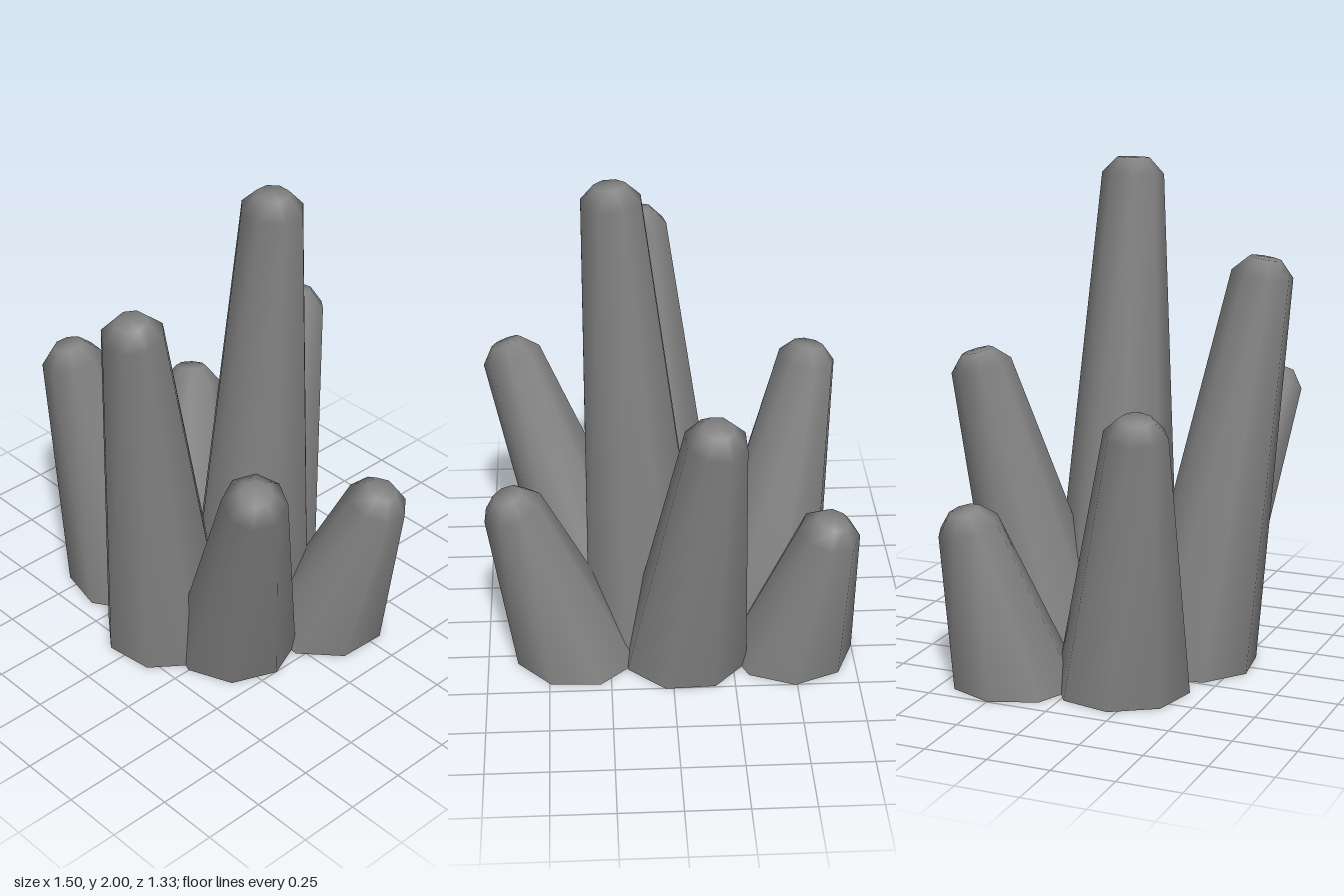
import * as THREE from 'three';

const SIDES = 8;
const UP = new THREE.Vector3(0, 1, 0);

// name, base centre (x, z), base radius, shoulder centre (x, y, z), turn in degrees
const COLUMNS = [
  ['centreColumn', [0.09, -0.07], 0.266, [0.217, 1.937, -0.045], 22.5],
  ['frontColumn', [-0.008, 0.312], 0.262, [0.10, 1.583, 0.548], 15],
  ['frontLeftColumn', [0.247, 0.17], 0.255, [0.63, 1.047, 0.428], 0],
  ['frontRightColumn', [-0.403, 0.17], 0.268, [-0.585, 1.07, 0.30], 35],
  ['backLeftColumn', [0.383, -0.215], 0.262, [0.628, 0.722, -0.25], 25],
  ['backColumn', [-0.058, -0.255], 0.264, [-0.155, 1.18, -0.551], 20],
  ['backRightColumn', [-0.492, -0.245], 0.258, [-0.62, 0.655, -0.383], 0],
];

// rings of the bevelled end: distance past the shoulder along the axis, radius
const CAP = [[0, 0.124], [0.063, 0.064]];

// Leaning tapered column: level open foot, rings square to the axis at the tip
function column([name, [bx, bz], radius, shoulder, turn]) {
  const base = new THREE.Vector3(bx, 0, bz);
  const top = new THREE.Vector3(...shoulder);
  const axis = top.clone().sub(base).normalize();
  const lean = new THREE.Quaternion().setFromUnitVectors(UP, axis);
  const positions = [];
  const index = [];

  const addRing = (centre, r, rotation) => {
    for (let i = 0; i < SIDES; i++) {
      const a = THREE.MathUtils.degToRad(turn) + (i / SIDES) * Math.PI * 2;
      const p = new THREE.Vector3(Math.cos(a) * r, 0, Math.sin(a) * r);
      if (rotation) p.applyQuaternion(rotation);
      positions.push(...p.add(centre).toArray());
    }
  };
  addRing(base, radius, null);
  for (const [d, r] of CAP) addRing(top.clone().addScaledVector(axis, d), r, lean);
  const tip = positions.length / 3;
  positions.push(...top.clone().addScaledVector(axis, 0.063).toArray());

  for (let ring = 0; ring < CAP.length; ring++) {
    for (let i = 0; i < SIDES; i++) {
      const a = ring * SIDES + i;
      const b = ring * SIDES + ((i + 1) % SIDES);
      index.push(a, a + SIDES, b, b, a + SIDES, b + SIDES);
    }
  }
  for (let i = 0; i < SIDES; i++) {
    const last = CAP.length * SIDES;
    index.push(last + i, tip, last + ((i + 1) % SIDES));
  }

  const geometry = new THREE.BufferGeometry();
  geometry.setAttribute('position', new THREE.Float32BufferAttribute(positions, 3));
  geometry.setIndex(index);
  geometry.computeVertexNormals();
  const material = new THREE.MeshStandardMaterial({ color: 0x828282, side: THREE.DoubleSide });
  const mesh = new THREE.Mesh(geometry, material);
  mesh.name = name;
  return mesh;
}

export function createModel() {
  const group = new THREE.Group();
  group.name = 'columnCluster';
  for (const spec of COLUMNS) group.add(column(spec));
  return group;
}
